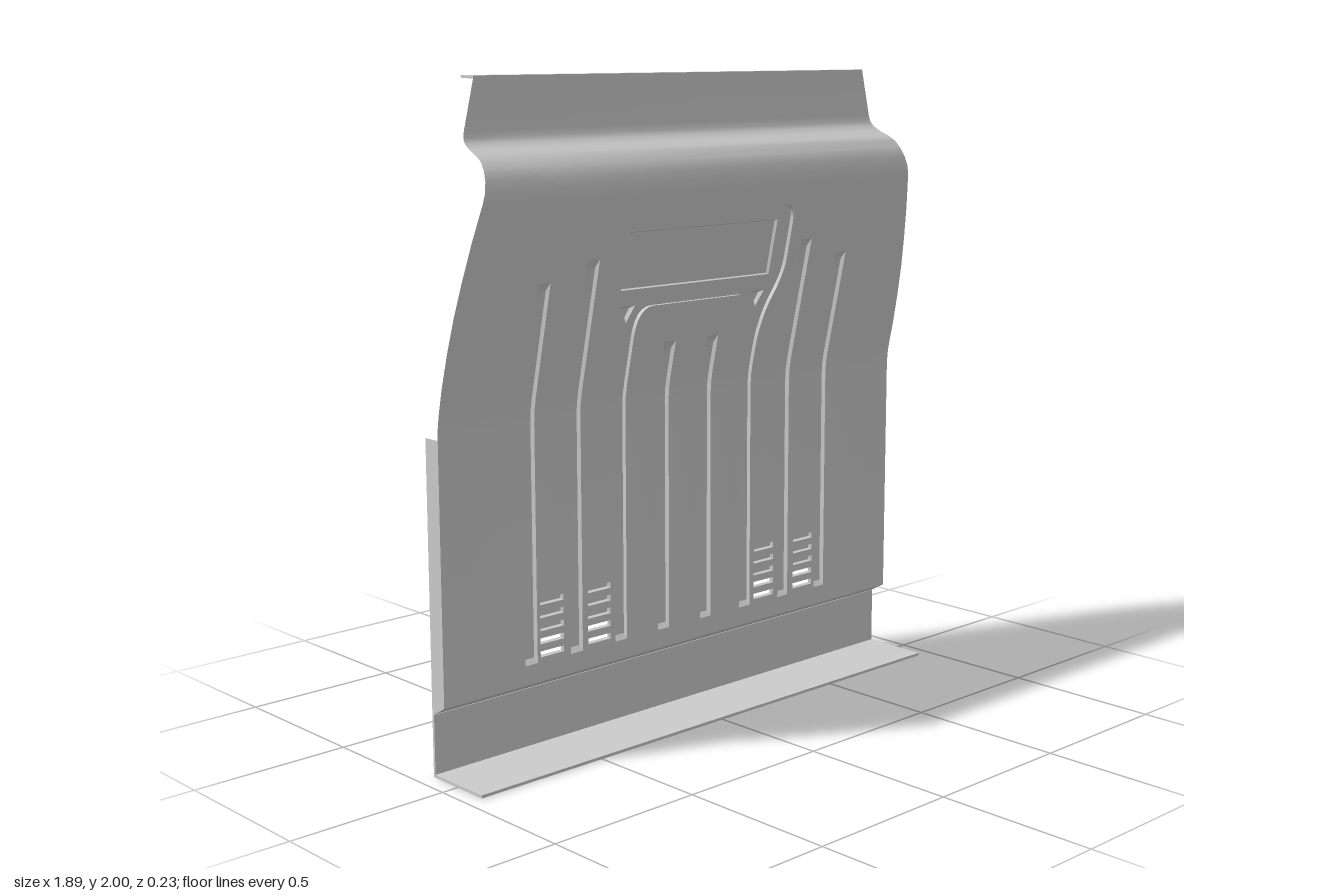
import * as THREE from 'three';
import { toCreasedNormals } from 'three/addons/utils/BufferGeometryUtils.js';

const BACK = -0.113, CX = -0.007;
const material = new THREE.MeshStandardMaterial({ color: 0xcccccc, side: THREE.DoubleSide });

// Side profile of the pressed sheet, [y, z], and its half width, [y, x]
const profile = [[0.19, -0.108], [0.22, -0.055], [1.0, -0.055], [1.04, -0.053], [1.08, -0.046],
  [1.62, 0.073], [1.66, 0.082], [1.69, 0.084], [1.72, 0.077], [1.745, 0.065], [1.77, 0.045],
  [1.785, 0.02], [1.8, -0.015], [1.815, -0.04], [1.83, -0.052], [1.85, -0.055], [2, -0.055]];
const halfWidths = [[0.19, 0.947], [1.15, 0.947], [1.25, 0.942], [1.35, 0.933], [1.45, 0.919],
  [1.55, 0.902], [1.65, 0.881], [1.75, 0.858], [1.85, 0.834], [2, 0.797]];
const levels = [...new Set([...profile, ...halfWidths].map(p => p[0]))].sort((a, b) => a - b);

function lerpTable(table, y) {
  let i = 1;
  while (i < table.length - 1 && table[i][0] < y) i++;
  const [y0, v0] = table[i - 1], [y1, v1] = table[i];
  return v0 + (v1 - v0) * THREE.MathUtils.clamp((y - y0) / (y1 - y0), 0, 1);
}
const surf = y => lerpTable(profile, y);
const halfWidth = y => lerpTable(halfWidths, y);

function meshFrom(name, triangles) {
  const g = new THREE.BufferGeometry();
  g.setAttribute('position', new THREE.Float32BufferAttribute(triangles.flat(2), 3));
  // enlarged while creasing so that fine detail is kept apart
  g.scale(1000, 1000, 1000);
  const creased = toCreasedNormals(g, 0.6);
  creased.scale(0.001, 0.001, 0.001);
  const mesh = new THREE.Mesh(creased, material);
  mesh.name = name;
  return mesh;
}

// Keep the side of a polygon above (s = 1) or below (s = -1) the line y = c
function clip(poly, c, s) {
  const out = [];
  poly.forEach((p, i) => {
    const q = poly[(i + 1) % poly.length];
    const a = (p[1] - c) * s, b = (q[1] - c) * s;
    if (a >= -1e-7) out.push(p);
    if ((a > 1e-7 && b < -1e-7) || (a < -1e-7 && b > 1e-7)) {
      const t = a / (a - b);
      out.push([p[0] + (q[0] - p[0]) * t, c, p[2] + (q[2] - p[2]) * t]);
    }
  });
  return out;
}

// Cut flat [x, y, depth] triangles at every level, then bend them to the profile
function bend(triangles) {
  for (const c of levels) {
    triangles = triangles.flatMap(t => {
      const ys = t.map(p => p[1]);
      if (Math.min(...ys) > c - 1e-6 || Math.max(...ys) < c + 1e-6) return [t];
      return [1, -1].flatMap(s => {
        const poly = clip(t, c, s);
        return poly.slice(2).map((p, i) => [poly[0], poly[i + 1], p]);
      });
    });
  }
  return triangles.map(t => t.map(([x, y, d]) => [x, y, surf(y) - d]));
}

const vec = (x, y) => new THREE.Vector2(x, y);
const ccw = pts => (THREE.ShapeUtils.isClockWise(pts) ? pts.slice().reverse() : pts);

function fill(contour, holes, depth) {
  const all = [contour, ...holes].flat();
  return THREE.ShapeUtils.triangulateShape(contour, holes).map(f => {
    const t = f.map(i => [all[i].x, all[i].y, depth]);
    const area = (t[1][0] - t[0][0]) * (t[2][1] - t[0][1]) - (t[2][0] - t[0][0]) * (t[1][1] - t[0][1]);
    return area < 0 ? t.reverse() : t;
  });
}

// Pocket from depth d0 to d1: walls between outer and inner contour, plus a floor
function pocket(outer, shrink, d0, d1, { holes = [], open = false } = {}) {
  const inner = outer.map(shrink), tris = [];
  outer.forEach((p, i) => {
    const j = (i + 1) % outer.length;
    const a = [p.x, p.y, d0], b = [outer[j].x, outer[j].y, d0];
    const c = [inner[j].x, inner[j].y, d1], d = [inner[i].x, inner[i].y, d1];
    tris.push([a, b, c], [a, c, d]);
  });
  return open ? tris : tris.concat(fill(inner, holes, d1));
}

const rect = (x, y0, y1, w) =>
  [vec(x - w / 2, y0), vec(x + w / 2, y0), vec(x + w / 2, y1), vec(x - w / 2, y1)];
const shrinkRect = (x, y0, y1, ix, iy0, iy1) => p =>
  vec(p.x + (p.x < x ? ix : -ix), p.y < (y0 + y1) / 2 ? p.y + iy0 : p.y - iy1);

// Frame with two long legs, drawn as one half and mirrored
function frameContour() {
  const s = new THREE.Shape();
  s.moveTo(0, 1.595);
  s.lineTo(0.31, 1.595);
  s.quadraticCurveTo(0.367, 1.595, 0.367, 1.535);
  s.lineTo(0.367, 1.42);
  s.quadraticCurveTo(0.367, 1.37, 0.335, 1.31);
  s.quadraticCurveTo(0.291, 1.23, 0.291, 1.13);
  s.lineTo(0.291, 0.28);
  s.lineTo(0.244, 0.28);
  s.lineTo(0.244, 1.22);
  s.quadraticCurveTo(0.244, 1.315, 0.18, 1.315);
  s.lineTo(0, 1.315);
  const half = s.getPoints(6);
  const mirrored = half.slice(1, -1).reverse().map(p => vec(-p.x, p.y));
  return ccw([...half, ...mirrored].map(p => vec(p.x + CX, p.y)));
}

// Side wall from the sheet edge to the back plane
function sideWall(name, side, top) {
  const tris = [], ys = levels.filter(y => y <= top);
  for (let i = 1; i < ys.length; i++) {
    const [a, b] = [ys[i - 1], ys[i]].map(y => [side * halfWidth(y), y, surf(y)]);
    const c = [b[0], b[1], BACK], d = [a[0], a[1], BACK];
    tris.push(...(side > 0 ? [[a, d, c], [a, c, b]] : [[a, c, d], [a, b, c]]));
  }
  return meshFrom(name, tris);
}

function box(name, w, h, d, y, z) {
  const mesh = new THREE.Mesh(new THREE.BoxGeometry(w, h, d), material);
  mesh.name = name;
  mesh.position.set(0, y, z);
  return mesh;
}

export function createModel() {
  const group = new THREE.Group();
  group.name = 'pressedPanel';
  const holes = [];

  // Straight grooves and vent slots in mirrored pairs
  const grooves = [], vents = [];
  for (const side of [1, -1]) {
    for (const [cx, top] of [[0.62, 1.42], [0.445, 1.475], [0.09, 1.195]]) {
      const x = CX + side * cx, outer = rect(x, 0.28, top, 0.047);
      holes.push(outer);
      grooves.push(...pocket(outer, shrinkRect(x, 0.28, top, 0.003, 0.015, 0.025), 0, 0.014));
    }
    for (const cx of [0.54, 0.355]) {
      for (let row = 0; row < 5; row++) {
        const x = CX + side * cx, y = 0.295 + row * 0.04, outer = rect(x, y, y + 0.018, 0.09);
        holes.push(outer);
        vents.push(...pocket(outer, shrinkRect(x, y, y + 0.018, 0.003, 0.003, 0.003), 0, 0.012,
          { open: row < 2 }));
      }
    }
  }

  // Legged frame with a deeper plate recess and two triangular dimples
  const frame = frameContour();
  holes.push(frame);
  const plate = rect(CX, 1.37, 1.545, 0.62);
  const dimples = [1, -1].map(s => ccw([[0.245, 1.32], [0.3, 1.32], [0.272, 1.268]]
    .map(([x, y]) => vec(CX + s * x, y))));
  const frameTris = [
    ...pocket(frame, p => vec(p.x, p.y < 0.29 ? p.y + 0.015 : p.y), 0, 0.014, { holes: [plate, ...dimples] }),
    ...pocket(plate, shrinkRect(CX, 1.37, 1.545, 0.003, 0.003, 0.003), 0.014, 0.024),
  ];
  for (const d of dimples) {
    const c = d.reduce((a, p) => a.add(p), vec(0, 0)).divideScalar(3);
    frameTris.push(...pocket(d, p => p.clone().lerp(c, 0.4), 0.014, 0.026));
  }

  // Main sheet
  const outline = [...levels.map(y => vec(halfWidth(y), y)),
    ...levels.slice().reverse().map(y => vec(-halfWidth(y), y))];
  group.add(
    meshFrom('mainSheet', bend(fill(outline, holes, 0))),
    meshFrom('grooves', bend(grooves)),
    meshFrom('ventSlots', bend(vents)),
    meshFrom('recessedFrame', bend(frameTris)),
  );

  // Side walls, top return and the L-shaped foot
  group.add(
    sideWall('leftWall', 1, 2),
    sideWall('rightWall', -1, 1.0),
    box('topReturn', 1.594, 0.008, 0.058, 1.996, -0.084),
    box('footPlate', 1.894, 0.19, 0.008, 0.095, BACK + 0.004),
    box('footFlange', 1.894, 0.009, 0.226, 0.0045, 0),
  );
  return group;
}
